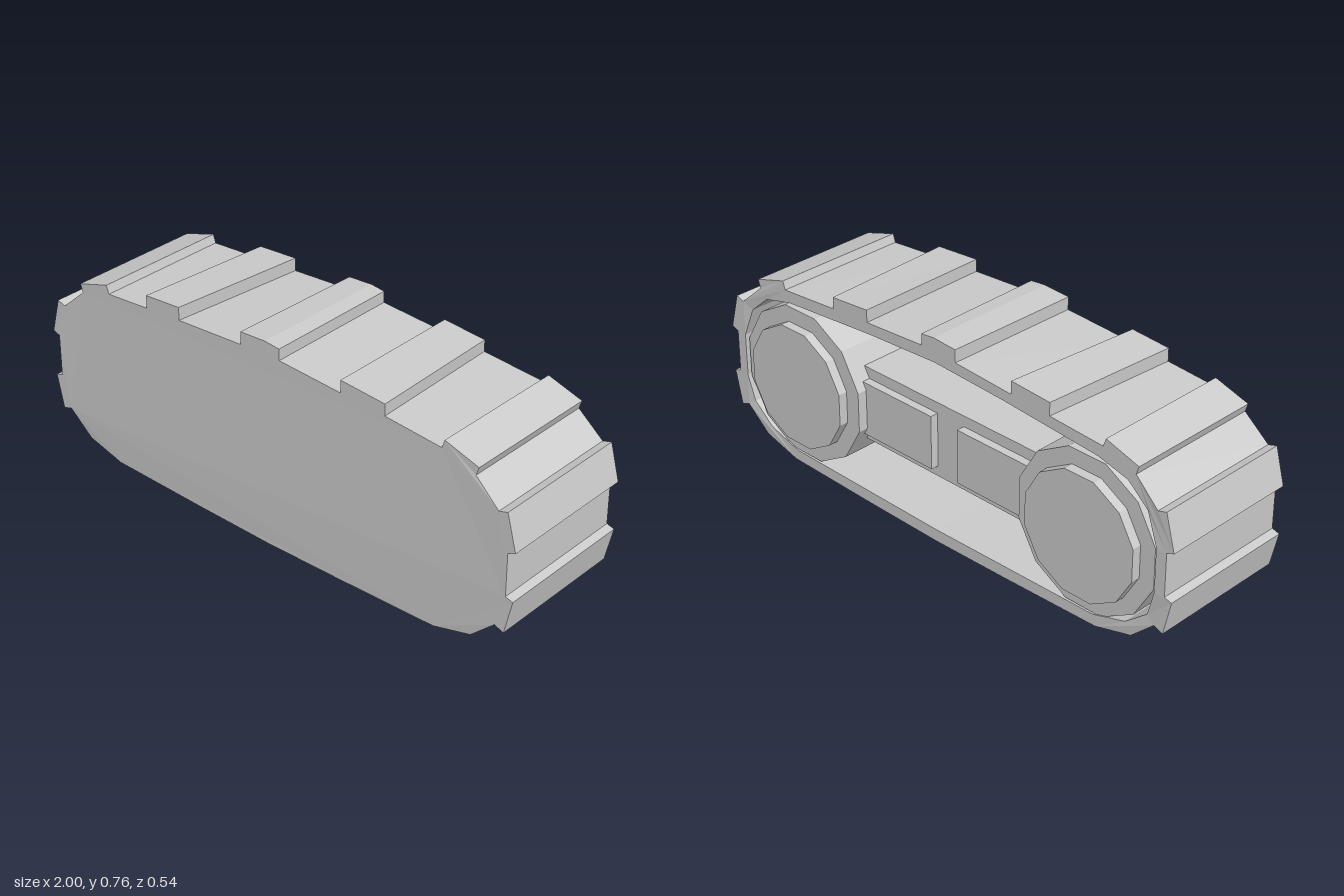
import * as THREE from 'three';
import { mergeGeometries } from 'three/addons/utils/BufferGeometryUtils.js';

const FRONT = 0.265, BACK = -0.24, RECESS = 0.24;
const material = new THREE.MeshStandardMaterial({ color: 0xcccccc, flatShading: true });

// One end of the belt, from the bottom up, with two raised treads
const endProfile = [
  [0.31, 0.005], [0.7, 0.015], [0.845, 0.055], [0.937, 0.142], [0.972, 0.129], [1, 0.255],
  [0.972, 0.263], [0.972, 0.42], [1, 0.43], [0.965, 0.56], [0.932, 0.55], [0.84, 0.632],
  [0.85, 0.662], [0.72, 0.702], [0.71, 0.672],
];
// Top treads from left to right: front x, y, back x (slightly skewed)
const topProfile = [
  [0.49, 0.69, 0.47], [0.49, 0.732, 0.47], [0.313, 0.745, 0.308], [0.313, 0.7, 0.308],
  [0.06, 0.715, 0.055], [0.06, 0.756, 0.055], [0, 0.762], [-0.105, 0.756, -0.095],
  [-0.105, 0.71, -0.095], [-0.38, 0.695, -0.335], [-0.38, 0.742, -0.335],
  [-0.53, 0.732, -0.495], [-0.53, 0.685, -0.495],
];
const innerHalf = [
  [0.69, 0.055], [0.82, 0.095], [0.905, 0.165], [0.932, 0.26], [0.932, 0.42],
  [0.89, 0.53], [0.81, 0.6], [0.69, 0.63], [0.3, 0.66],
];

const mirror = (pts) => pts.map(([x, y]) => [-x, y]).reverse();
const toVec = (pts) => pts.map(([x, y]) => new THREE.Vector2(x, y));

// Flat face; optionally with a hole, optionally turned to face the back
function face(pts, z, hole, flip) {
  const shape = new THREE.Shape(toVec(pts));
  if (hole) shape.holes.push(new THREE.Path(toVec(hole)));
  const geo = new THREE.ShapeGeometry(shape);
  if (flip) {
    const idx = geo.index.array;
    for (let i = 0; i < idx.length; i += 3) [idx[i], idx[i + 1]] = [idx[i + 1], idx[i]];
  }
  const flat = geo.toNonIndexed().translate(0, 0, z);
  flat.deleteAttribute('uv');
  flat.deleteAttribute('normal');
  return flat;
}

// Wall running between a back loop and a front loop
function wall(front, zf, back, zb, inward) {
  const pos = [];
  front.forEach((f, i) => {
    const j = (i + 1) % front.length;
    const a = [...back[i], zb], b = [...back[j], zb], c = [...front[j], zf], d = [...f, zf];
    const quad = inward ? [a, c, b, a, d, c] : [a, b, c, a, c, d];
    quad.forEach((p) => pos.push(...p));
  });
  return new THREE.BufferGeometry().setAttribute('position', new THREE.Float32BufferAttribute(pos, 3));
}

function beltGeometry() {
  const full = [[0, 0], ...endProfile, ...topProfile, ...mirror(endProfile)];
  const front = full.map(([x, y]) => [x, y]);
  const back = full.map(([x, y, xb]) => [xb ?? x, y]);
  const inner = [[0, 0.045], ...innerHalf, [0, 0.675], ...mirror(innerHalf)];
  const geo = mergeGeometries([
    face(front, FRONT),
    face(back, BACK, inner, true),
    face(inner, RECESS, null, true),
    wall(front, FRONT, back, BACK, false),
    wall(inner, RECESS, inner, BACK, true),
  ]);
  // The rounded ends swell slightly in width
  const p = geo.attributes.position;
  for (let i = 0; i < p.count; i++) {
    const y = p.getY(i);
    if (Math.abs(p.getX(i)) > 0.93 && y > 0.12 && y < 0.57) p.setZ(i, p.getZ(i) + Math.sign(p.getZ(i)) * 0.005);
  }
  geo.computeVertexNormals();
  return geo;
}

export function createModel() {
  const group = new THREE.Group();
  const add = (name, geo, x, y, z) => {
    const mesh = new THREE.Mesh(geo, material);
    mesh.name = name;
    mesh.position.set(x, y, z);
    group.add(mesh);
  };
  // Twelve-sided disc lying along z between two depths, flat side up
  const disc = (name, r, x, z0, z1) => {
    const geo = new THREE.CylinderGeometry(r, r, z1 - z0, 12).rotateY(Math.PI / 12).rotateX(Math.PI / 2);
    add(name, geo, x, 0.335, (z0 + z1) / 2);
  };
  const box = (name, w, h, x, z0, z1) =>
    add(name, new THREE.BoxGeometry(w, h, z1 - z0), x, 0.335, (z0 + z1) / 2);

  add('trackBelt', beltGeometry(), 0, 0, 0);

  // Beam joining the wheels inside the open back
  box('centreBeam', 0.9, 0.28, 0, -0.17, RECESS + 0.01);

  for (const [side, s] of [['left', 1], ['right', -1]]) {
    disc(side + 'WheelDrum', 0.287, s * 0.645, -0.236, RECESS + 0.01);
    disc(side + 'WheelCap', 0.2277, s * 0.645, -0.27, -0.22);
    box(side + 'BeamPad', 0.34, 0.2, s * 0.23, -0.2, -0.16);
  }
  return group;
}
